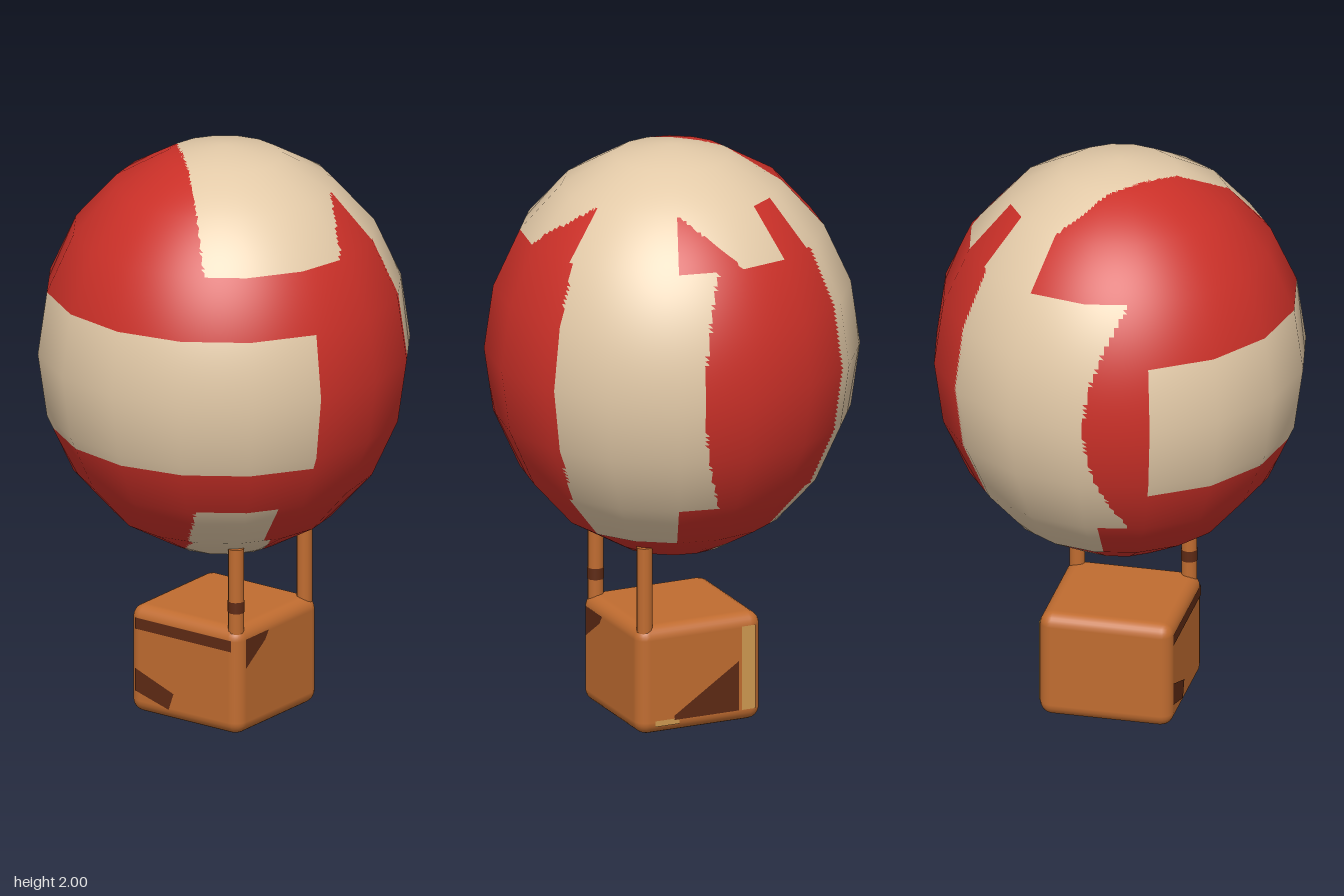
import * as THREE from 'three';
import { RoundedBoxGeometry } from 'three/addons/geometries/RoundedBoxGeometry.js';

const material = (name, color, side = THREE.FrontSide) => {
  const m = new THREE.MeshStandardMaterial({ color, side });
  m.name = name;
  return m;
};

const SIDES = 16, ROWS = 10, FINE = 14; // coarse facets, each split finely for the painted patches
const RADIUS = 0.632, HALF_HEIGHT = 0.7125, CENTRE_Y = 1.2875;

// Rule for the red patches: angle in degrees from the front, row 0 (top) to 10 (bottom)
function isRed(x, z, row) {
  const a = THREE.MathUtils.radToDeg(Math.atan2(x, z));
  const s = x + z;
  const between = (lo, hi) => a > lo && a < hi;
  if (row < 2) return s < -0.2;
  if (row < 3) {
    if (s < -0.2) return a < 0 || a > 157.5;
    return (s > 0.48 && (a < 22.5 || between(67.5, 110))) || between(112.5, 129);
  }
  if (row < 7) {
    const d2 = (row - 5) ** 2;
    if (between(75.5 + 1.9 * d2, 131)) return true;
    if (row > 4 && row < 6.2 && between(-157.5, -22.5)) return false;
    return between(-178 + 3.7 * d2, 26 - 0.5 * d2);
  }
  if (row < 8) return between(-32, 23) || between(68, 128) || (s < -0.24 && between(-175, 0));
  return s > 0.15 || s < -0.22;
}

// Faceted envelope with smooth normals and two colour groups
function envelopeGeometry() {
  const w = SIDES * FINE, h = ROWS * FINE;
  const geo = new THREE.SphereGeometry(1, w, h);
  const pos = geo.attributes.position, nor = geo.attributes.normal;
  const corner = (i, j) => {
    const a = (i / SIDES) * Math.PI * 2 - Math.PI / 2, t = (j / ROWS) * Math.PI;
    return new THREE.Vector3(Math.sin(a) * Math.sin(t), Math.cos(t), Math.cos(a) * Math.sin(t));
  };
  for (let k = 0; k < pos.count; k++) {
    const u = (k % (w + 1)) / FINE, v = Math.floor(k / (w + 1)) / FINE;
    const i = Math.min(Math.floor(u), SIDES - 1), j = Math.min(Math.floor(v), ROWS - 1);
    const p = corner(i, j).lerp(corner(i + 1, j), u - i)
      .lerp(corner(i, j + 1).lerp(corner(i + 1, j + 1), u - i), v - j);
    pos.setXYZ(k, p.x * RADIUS, p.y * HALF_HEIGHT, p.z * RADIUS);
    const n = new THREE.Vector3(p.x / RADIUS, p.y / HALF_HEIGHT, p.z / RADIUS).normalize();
    nor.setXYZ(k, n.x, n.y, n.z);
  }
  const index = geo.index.array, cream = [], red = [];
  for (let f = 0; f < index.length; f += 3) {
    const t = [index[f], index[f + 1], index[f + 2]];
    const mean = (get) => (get(t[0]) + get(t[1]) + get(t[2])) / 3;
    const row = mean((k) => Math.floor(k / (w + 1))) / FINE;
    (isRed(mean((k) => pos.getX(k)), mean((k) => pos.getZ(k)), row) ? red : cream).push(...t);
  }
  geo.setIndex([...cream, ...red]);
  geo.clearGroups();
  geo.addGroup(0, cream.length, 0);
  geo.addGroup(cream.length, red.length, 1);
  return geo;
}

export function createModel() {
  const model = new THREE.Group();
  model.name = 'balloon';
  const cream = material('cream cloth', 0xe3caa8);
  const red = material('red cloth', 0xcb3028);
  const wood = material('orange wood', 0xc06c30);
  const dark = material('dark brown', 0x5e2a14, THREE.DoubleSide);
  const light = material('light tan', 0xcf9a50, THREE.DoubleSide);

  const add = (name, geo, mat, x = 0, y = 0, z = 0, parent = model) => {
    const mesh = new THREE.Mesh(geo, mat);
    mesh.name = name;
    mesh.position.set(x, y, z);
    parent.add(mesh);
    return mesh;
  };

  add('envelope', envelopeGeometry(), [cream, red], 0, CENTRE_Y, 0);
  add('basket', new RoundedBoxGeometry(0.46, 0.38, 0.46, 3, 0.045), wood, 0, 0.19, 0);

  // Two front posts
  for (const side of [-1, 1]) {
    const name = side > 0 ? 'left' : 'right';
    add(name + 'Post', new THREE.CylinderGeometry(0.027, 0.027, 0.33, 12), wood, side * 0.193, 0.495, 0.193);
  }
  add('postBand', new THREE.CylinderGeometry(0.0285, 0.0285, 0.04, 12, 1, true), dark, -0.193, 0.453, 0.193);

  // Thin painted marks on the basket walls; points are across and up, seen from outside
  const mark = (name, mat, turn, points) => {
    const face = new THREE.Group();
    face.name = name;
    face.rotation.y = turn;
    const shape = new THREE.Shape(points.map(([x, y]) => new THREE.Vector2(x, y)));
    add(name + 'Plate', new THREE.ShapeGeometry(shape), mat, 0, 0, 0.2315, face);
    model.add(face);
  };
  const quarter = Math.PI / 2;
  mark('frontMark', dark, 0, [[-0.19, 0.235], [-0.08, 0.31], [-0.06, 0.34], [-0.19, 0.34]]);
  mark('leftMark', dark, quarter, [[-0.1, 0.045], [0.14, 0.045], [0.14, 0.22], [-0.1, 0.06]]);
  mark('leftStrip', light, quarter, [[0.15, 0.045], [0.2, 0.045], [0.2, 0.34], [0.15, 0.34]]);
  mark('leftSill', light, quarter, [[-0.17, 0.03], [-0.08, 0.03], [-0.08, 0.05], [-0.17, 0.05]]);
  mark('rightStrip', dark, -quarter, [[-0.2, 0.3], [0.2, 0.3], [0.2, 0.34], [-0.2, 0.34]]);
  mark('rightMark', dark, -quarter, [[-0.2, 0.08], [-0.06, 0.04], [-0.04, 0.1], [-0.2, 0.16]]);

  return model;
}
